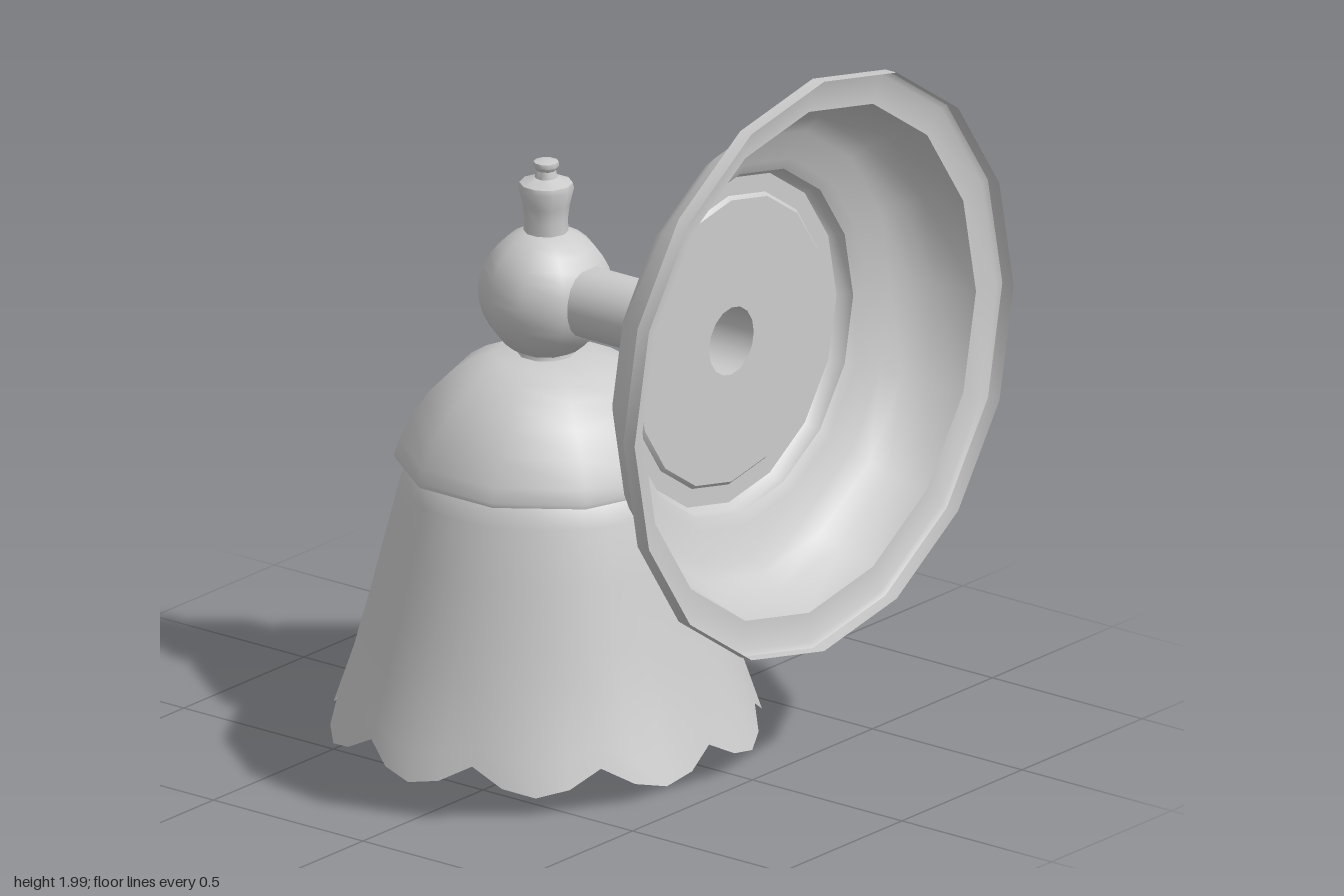
import * as THREE from 'three';
import { toCreasedNormals } from 'three/addons/utils/BufferGeometryUtils.js';

const material = new THREE.MeshStandardMaterial({ color: 0xcccccc, side: THREE.DoubleSide });
const LAMP_X = -0.19; // axis of the hanging lamp
const ARM_Y = 1.21; // axis of the arm and wall plate

// Turned part from [radius, height] pairs
function lathe(points, sides) {
  return new THREE.LatheGeometry(points.map(([r, y]) => new THREE.Vector2(r, y)), sides);
}

function addPart(group, name, geometry, x = 0, y = 0) {
  const mesh = new THREE.Mesh(geometry, material);
  mesh.name = name;
  mesh.position.set(x, y, 0);
  group.add(mesh);
  return mesh;
}

// Flared glass bell; its lower rim is cut into ten round scallops
function shadeGeometry() {
  const geometry = lathe([
    [0.575, 0.008], [0.55, 0.08], [0.515, 0.18], [0.485, 0.28], [0.46, 0.37],
    [0.42, 0.53], [0.382, 0.68], [0.37, 0.715], [0.352, 0.745], [0.31, 0.79],
  ], 40);
  const p = geometry.attributes.position;
  for (let i = 0; i < p.count; i++) {
    const x = p.getX(i), y = p.getY(i), z = p.getZ(i);
    const fade = Math.max(0, (0.28 - y) / 0.272);
    const notch = fade * (1 - Math.abs(Math.cos(5 * Math.atan2(x, z))));
    const scale = 1 - 0.052 * notch;
    p.setXYZ(i, x * scale, y + 0.065 * notch, z * scale);
  }
  return toCreasedNormals(geometry, 0.75);
}

export function createModel() {
  const group = new THREE.Group();
  group.name = 'wallLamp';

  // Hollow wall plate with a recessed disc and a thin lip, turned about x
  const plate = lathe([
    [0.093, 0.43], [0.39, 0.43], [0.4, 0.42], [0.45, 0.42], [0.465, 0.435],
    [0.47, 0.46], [0.5, 0.477], [0.58, 0.497], [0.625, 0.535], [0.665, 0.58],
    [0.695, 0.69], [0.775, 0.692], [0.79, 0.702], [0.79, 0.74],
  ], 16);
  addPart(group, 'wallPlate', toCreasedNormals(plate, 0.75), 0, ARM_Y).rotation.z = -Math.PI / 2;

  // Open tube from the ball to the plate
  const arm = new THREE.CylinderGeometry(0.095, 0.095, 0.5, 20, 1, true);
  addPart(group, 'arm', arm, 0.18, ARM_Y).rotation.z = -Math.PI / 2;

  // Ball joint
  addPart(group, 'ball', new THREE.SphereGeometry(0.178, 10, 16), LAMP_X, ARM_Y);

  // Finial on top of the ball
  const finial = lathe([
    [0.06, 1.36], [0.057, 1.41], [0.062, 1.45], [0.073, 1.495], [0.07, 1.51],
    [0.03, 1.525], [0.026, 1.545], [0.034, 1.556], [0.033, 1.568], [0, 1.576],
  ], 10);
  addPart(group, 'finial', toCreasedNormals(finial, 0.75), LAMP_X).rotation.y = Math.PI / 2;

  // Short collar between ball and cap
  const collar = lathe([[0.08, 1.03], [0.072, 1.05], [0.078, 1.07]], 10);
  addPart(group, 'collar', collar, LAMP_X).rotation.y = Math.PI / 2;

  // Domed cap holding the shade
  const cap = lathe([
    [0.35, 0.75], [0.37, 0.742], [0.395, 0.74], [0.396, 0.752], [0.383, 0.79],
    [0.35, 0.86], [0.305, 0.925], [0.25, 0.98], [0.2, 1.012], [0.14, 1.038], [0, 1.04],
  ], 10);
  addPart(group, 'cap', toCreasedNormals(cap, 0.75), LAMP_X).rotation.y = Math.PI / 2;

  addPart(group, 'shade', shadeGeometry(), LAMP_X);
  return group;
}
